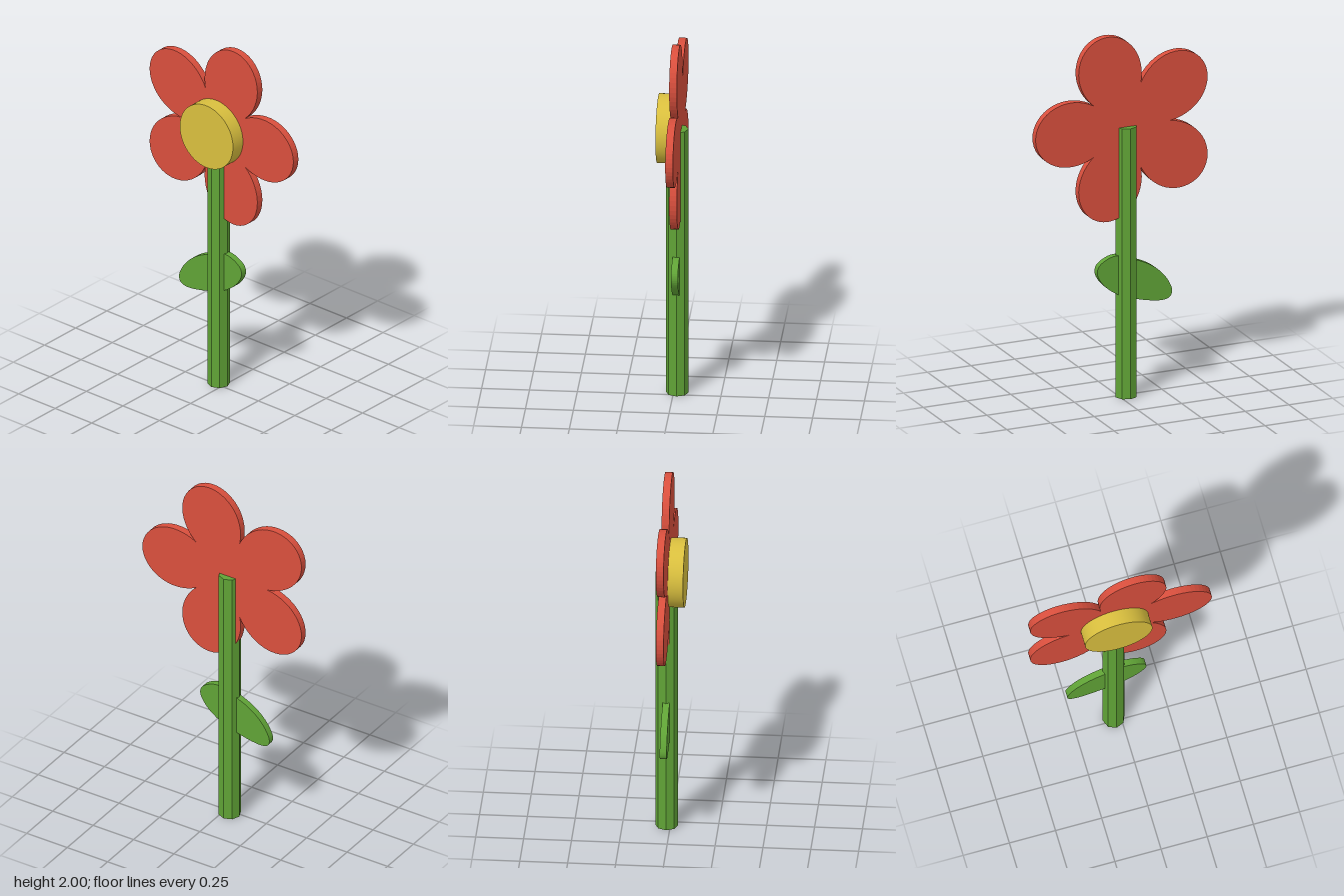
import * as THREE from 'three';

const CX = -0.037, CY = 1.49; // flower centre

function material(name, color, flatShading = false) {
  const m = new THREE.MeshStandardMaterial({ color, flatShading });
  m.name = name;
  return m;
}

// Flat plate cut from an outline, spanning z = -depth .. 0
function plate(name, points, depth, mat) {
  const geo = new THREE.ExtrudeGeometry(new THREE.Shape(points), { depth, bevelEnabled: false });
  geo.translate(0, 0, -depth);
  const mesh = new THREE.Mesh(geo, mat);
  mesh.name = name;
  return mesh;
}

// Five egg-shaped lobes that meet in sharp notches
function petalOutline() {
  const points = [], steps = 32, notch = Math.acos(-0.6);
  for (let p = 0; p < 5; p++) {
    const turn = (p * Math.PI * 2) / 5;
    for (let i = 0; i < steps; i++) {
      const t = -notch + (2 * notch * i) / steps;
      const c = Math.cos(t);
      const v = new THREE.Vector2(0.327 + (c > 0 ? 0.2 : 0.22) * c, 0.177 * Math.sin(t));
      v.rotateAround(new THREE.Vector2(), turn);
      points.push(v.add(new THREE.Vector2(CX, CY)));
    }
  }
  return points;
}

// Smooth closed curve through a few points, both leaf ends rounded
function leafOutline() {
  const knots = [
    [-0.293, 0.55], [-0.28, 0.517], [-0.235, 0.505], [-0.095, 0.53], [0.02, 0.572],
    [0.1, 0.635], [0.134, 0.695], [0.127, 0.737], [0.075, 0.774], [0.015, 0.785],
    [-0.095, 0.745], [-0.165, 0.712], [-0.225, 0.666], [-0.27, 0.61],
  ].map(([x, y]) => new THREE.Vector3(x, y, 0));
  return new THREE.CatmullRomCurve3(knots, true).getPoints(64).slice(0, -1)
    .map((v) => new THREE.Vector2(v.x, v.y));
}

export function createModel() {
  const group = new THREE.Group();
  group.name = 'flower';
  const red = material('petal red', 0xd94f3d);
  const yellow = material('centre yellow', 0xd9bf3e);
  const green = material('stem green', 0x60a336, true);

  // Petals and leaf
  group.add(plate('petals', petalOutline(), 0.04, red));
  group.add(plate('leaf', leafOutline(), 0.036, green));

  // Round centre standing proud of the petals
  const centre = new THREE.Mesh(new THREE.CylinderGeometry(0.182, 0.182, 0.08, 64), yellow);
  centre.name = 'flowerCentre';
  centre.rotation.x = Math.PI / 2;
  centre.position.set(CX, CY, 0.04);
  group.add(centre);

  // Eight-sided stem
  const stem = new THREE.Mesh(new THREE.CylinderGeometry(0.059, 0.059, CY, 8), green);
  stem.name = 'stem';
  stem.position.set(CX, CY / 2, -0.019);
  group.add(stem);

  return group;
}
